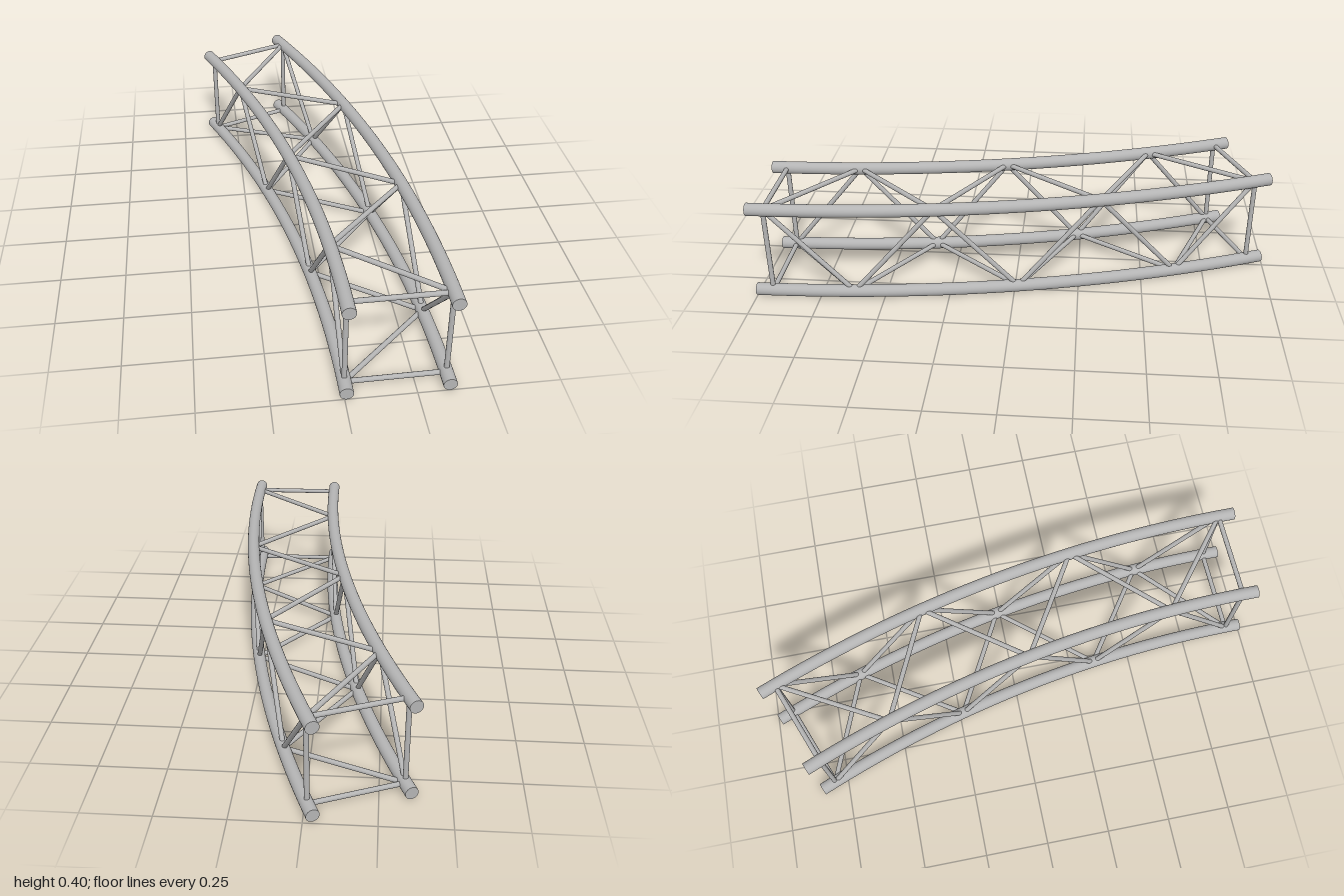
import * as THREE from 'three';

const CENTRE_X = -4.839;            // centre of the bend, level with the front end
const R_IN = 4.846, R_OUT = 5.201;  // chord radii of the bend
const Y_LOW = 0.0245, Y_HIGH = 0.3795;
const CHORD_R = 0.0245, BRACE_R = 0.0095;
const SWEEP = Math.PI / 8;
const BAYS = 6;
const END_INSET = 0.0122;           // angle from the chord ends to the end frames

// Point on the bend at a given angle from the front end
function bend(radius, y, angle) {
  return new THREE.Vector3(CENTRE_X + radius * Math.cos(angle), y, 1 - radius * Math.sin(angle));
}

class BendCurve extends THREE.Curve {
  constructor(radius, y) {
    super();
    this.radius = radius;
    this.y = y;
  }
  getPoint(t, target = new THREE.Vector3()) {
    return target.copy(bend(this.radius, this.y, t * SWEEP));
  }
}

export function createModel() {
  const model = new THREE.Group();
  model.name = 'curvedTruss';
  const metal = new THREE.MeshStandardMaterial({ color: 0xb4b4b4 });
  metal.name = 'aluminium grey';

  function add(parent, geometry, name) {
    const mesh = new THREE.Mesh(geometry, metal);
    mesh.name = name;
    parent.add(mesh);
    return mesh;
  }

  // Main curved pipe with flat end caps
  function chord(radius, y, name) {
    const group = new THREE.Group();
    group.name = name;
    add(group, new THREE.TubeGeometry(new BendCurve(radius, y), 32, CHORD_R, 24), 'pipe');
    const cap = new THREE.CircleGeometry(CHORD_R, 24);
    add(group, cap, 'frontCap').position.copy(bend(radius, y, 0));
    const back = add(group, cap, 'backCap');
    back.position.copy(bend(radius, y, SWEEP));
    back.rotation.y = Math.PI + SWEEP;
    model.add(group);
  }

  // Thin straight rod between two points
  const up = new THREE.Vector3(0, 1, 0);
  function brace(a, b, name) {
    const dir = b.clone().sub(a);
    const rod = add(model, new THREE.CylinderGeometry(BRACE_R, BRACE_R, dir.length(), 16, 1, true), name);
    rod.position.copy(a).add(b).multiplyScalar(0.5);
    rod.quaternion.setFromUnitVectors(up, dir.normalize());
  }

  chord(R_IN, Y_LOW, 'innerLowerChord');
  chord(R_IN, Y_HIGH, 'innerUpperChord');
  chord(R_OUT, Y_LOW, 'outerLowerChord');
  chord(R_OUT, Y_HIGH, 'outerUpperChord');

  const node = (radius, y, k) =>
    bend(radius, y, END_INSET + (SWEEP - 2 * END_INSET) * k / BAYS);

  // Square frame at each end
  for (const [k, end] of [[0, 'front'], [BAYS, 'back']]) {
    for (const r of [R_IN, R_OUT]) brace(node(r, Y_LOW, k), node(r, Y_HIGH, k), end + 'Post');
    for (const y of [Y_LOW, Y_HIGH]) brace(node(R_IN, y, k), node(R_OUT, y, k), end + 'Crossbar');
  }

  // Zigzag bracing: even nodes sit on outer-upper and inner-lower chords, odd nodes on the others
  for (let k = 0; k < BAYS; k++) {
    const even = k % 2 === 0 ? k : k + 1;
    const odd = k % 2 === 0 ? k + 1 : k;
    const outerUp = node(R_OUT, Y_HIGH, even), innerLow = node(R_IN, Y_LOW, even);
    const innerUp = node(R_IN, Y_HIGH, odd), outerLow = node(R_OUT, Y_LOW, odd);
    brace(outerUp, innerUp, 'topDiagonal');
    brace(innerLow, outerLow, 'bottomDiagonal');
    brace(outerUp, outerLow, 'outerDiagonal');
    brace(innerLow, innerUp, 'innerDiagonal');
  }
  return model;
}
